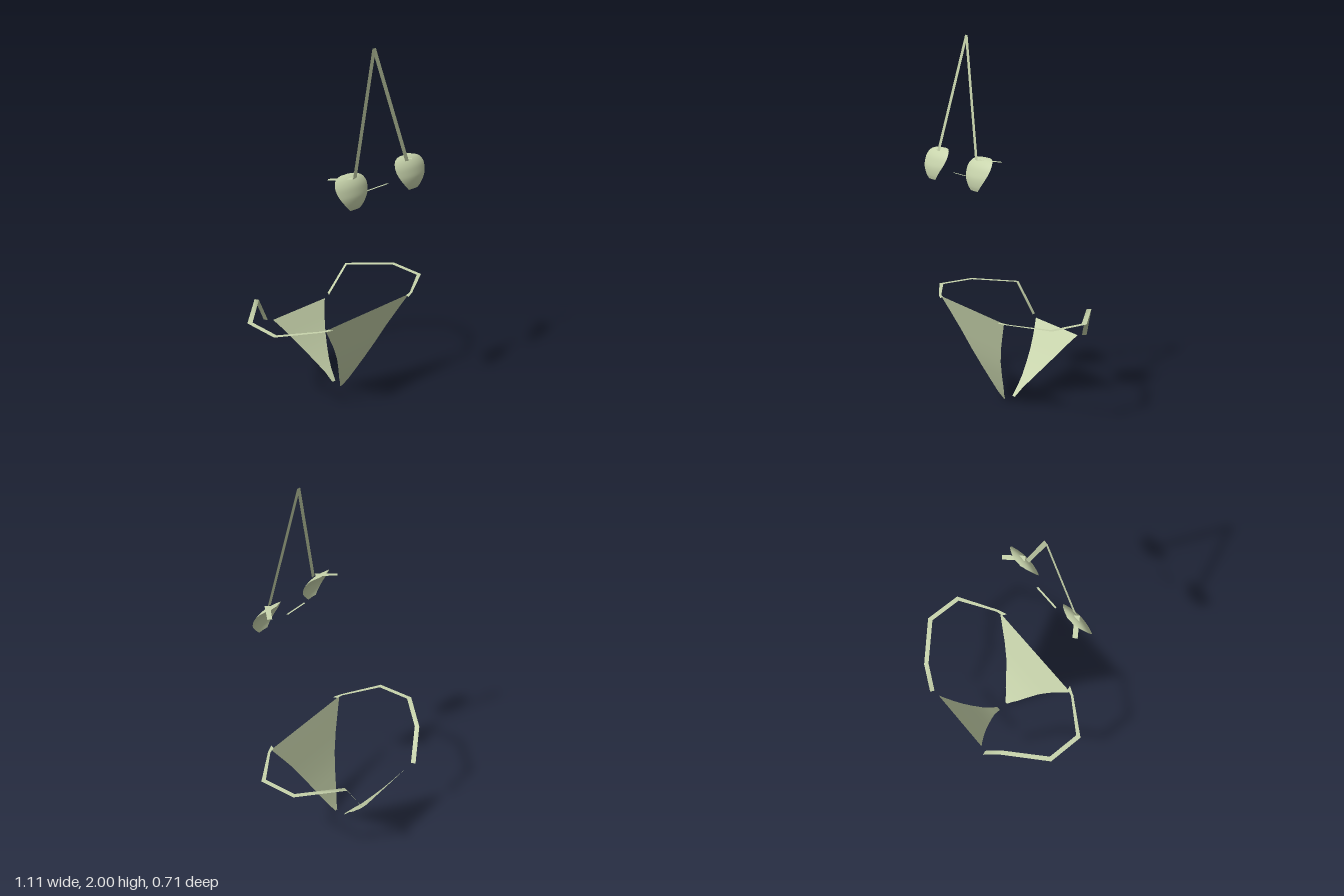
import * as THREE from 'three';

const fabric = new THREE.MeshStandardMaterial({ color: 0xc8d4ac, side: THREE.DoubleSide });
fabric.name = 'sage fabric';

// Smooth sheet through rows of [x, y, z] points (all rows the same length)
function sheet(name, rows) {
  const n = rows[0].length;
  const index = [];
  for (let r = 0; r < rows.length - 1; r++) {
    for (let c = 0; c < n - 1; c++) {
      const a = r * n + c, b = a + 1, d = a + n, e = d + 1;
      index.push(a, b, e, a, e, d);
    }
  }
  const geo = new THREE.BufferGeometry();
  geo.setAttribute('position', new THREE.Float32BufferAttribute(rows.flat(2), 3));
  geo.setIndex(index);
  geo.computeVertexNormals();
  const mesh = new THREE.Mesh(geo, fabric);
  mesh.name = name;
  return mesh;
}

// Symmetric panel from a profile of [y, z, halfWidth]; its sides sag back in z
function panel(name, profile, centreX = 0, sag = 0, columns = 12, steps = 0) {
  let rows = profile;
  if (steps) {
    const curve = new THREE.CatmullRomCurve3(profile.map((p) => new THREE.Vector3(...p)));
    rows = curve.getPoints(steps).map((p) => p.toArray());
  }
  const widest = Math.max(...rows.map((p) => p[2]));
  return sheet(name, rows.map(([y, z, w]) => {
    const row = [];
    for (let i = 0; i <= columns; i++) {
      const t = (i / columns) * 2 - 1;
      row.push([centreX + t * w, y, z - sag * (t * w / widest) ** 2]);
    }
    return row;
  }));
}

export function createModel() {
  const model = new THREE.Group();
  model.name = 'swimwear';

  // Lower front and back panels
  model.add(panel('frontPanel', [
    [0, 0.022, 0.008], [0.04, 0.045, 0.03], [0.09, 0.066, 0.057], [0.18, 0.105, 0.1],
    [0.28, 0.145, 0.148], [0.38, 0.178, 0.203], [0.47, 0.208, 0.262], [0.55, 0.235, 0.316],
  ]));
  model.add(panel('backPanel', [
    [0.003, -0.038, 0.012], [0.06, -0.09, 0.027], [0.1, -0.13, 0.047], [0.16, -0.18, 0.077],
    [0.215, -0.225, 0.108], [0.27, -0.265, 0.14], [0.32, -0.3, 0.172], [0.36, -0.328, 0.2],
  ]));

  // Flat link between the cups
  model.add(sheet('centreLink', [
    [[-0.075, 1.285, 0.295], [0.075, 1.285, 0.295]],
    [[-0.075, 1.285, 0.285], [0.075, 1.285, 0.285]],
  ]));

  for (const s of [1, -1]) {
    const side = s > 0 ? 'left' : 'right';

    // Rounded cup, curling back at the top edge
    model.add(panel(side + 'Cup', [
      [1.237, 0.345, 0.033], [1.26, 0.351, 0.056], [1.3, 0.352, 0.088], [1.33, 0.344, 0.102],
      [1.355, 0.334, 0.106], [1.375, 0.32, 0.1], [1.39, 0.303, 0.086], [1.398, 0.283, 0.06],
      [1.4, 0.266, 0.025],
    ], s * 0.211, 0.02, 14, 24));

    // Neck strap rising to the apex
    model.add(sheet(side + 'NeckStrap', [
      [[s * 0.175, 1.388, 0.315], [s * 0.201, 1.385, 0.316]],
      [[0, 1.957, 0.257], [s * 0.012, 2, 0.253]],
      [[0, 1.957, 0.257], [0, 2, 0.253]],
    ]));

    // Short strap running outward from behind the cup
    model.add(sheet(side + 'BackStrap', [
      [[s * 0.195, 1.392, 0.305], [s * 0.215, 1.392, 0.325]],
      [[s * 0.28, 1.383, 0.22], [s * 0.3, 1.383, 0.237]],
    ]));

    // Hip strap: flat ribbon around the side, then down to the back panel
    model.add(sheet(side + 'HipStrap', [
      [[s * 0.295, 0.55, 0.234], [s * 0.285, 0.55, 0.26]],
      [[s * 0.335, 0.55, 0.224], [s * 0.342, 0.55, 0.236]],
      [[s * 0.531, 0.55, 0.095], [s * 0.557, 0.55, 0.105]],
      [[s * 0.531, 0.55, -0.1], [s * 0.557, 0.55, -0.112]],
      [[s * 0.335, 0.55, -0.283], [s * 0.347, 0.55, -0.306]],
      [[s * 0.236, 0.37, -0.33], [s * 0.247, 0.37, -0.354]],
    ]));
  }
  return model;
}
